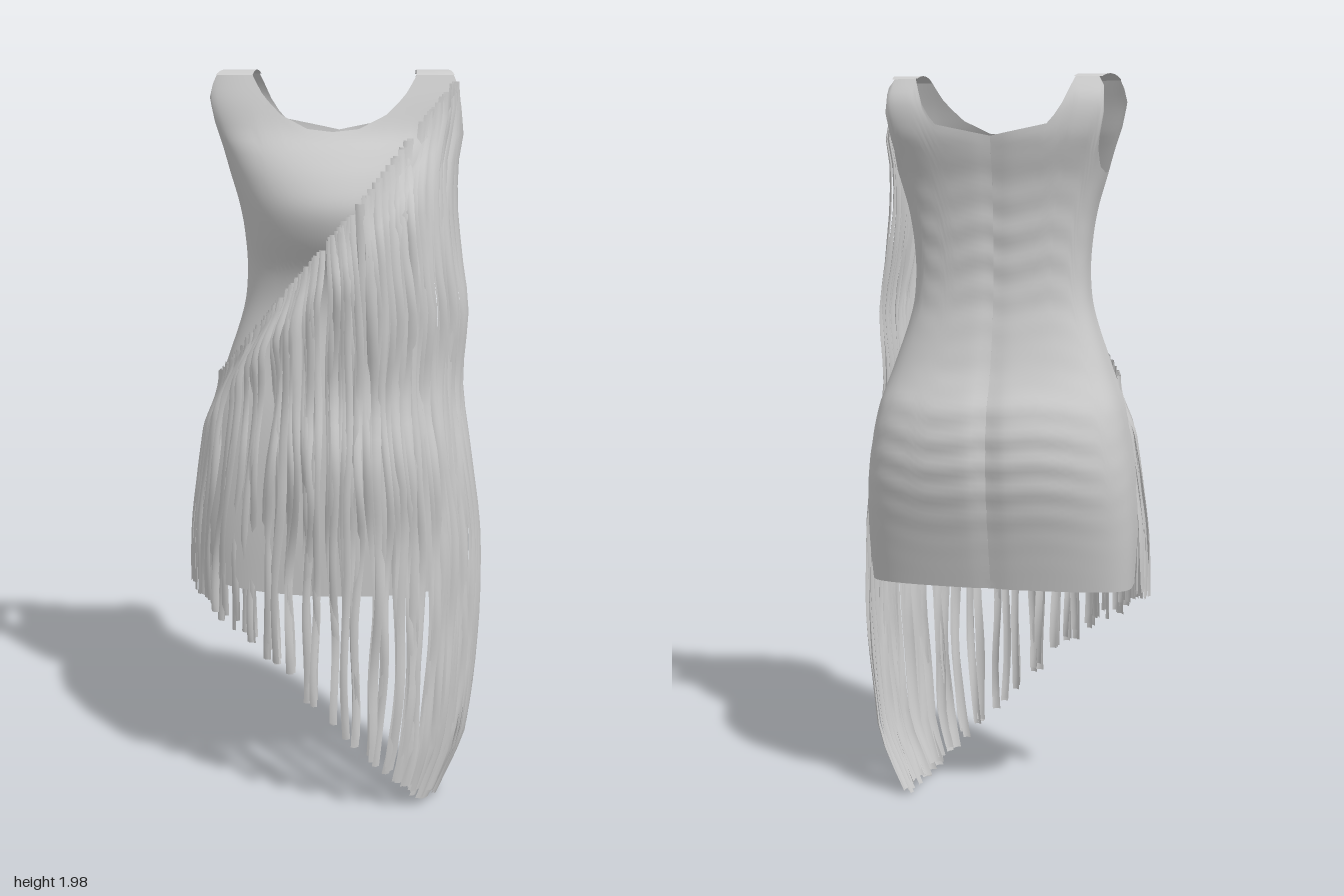
import * as THREE from 'three';
import { mergeGeometries, mergeVertices } from 'three/addons/utils/BufferGeometryUtils.js';

const RAD = Math.PI / 180;
const { lerp, clamp, smoothstep } = THREE.MathUtils;

// Dress outline by height: [y, half width, front depth, back depth]
const BODY = [
  [0.63, 0.352, 0.17, 0.17], [0.8, 0.36, 0.18, 0.215], [0.95, 0.355, 0.185, 0.252],
  [1.05, 0.342, 0.185, 0.258], [1.15, 0.322, 0.178, 0.24], [1.25, 0.287, 0.165, 0.19],
  [1.4, 0.238, 0.148, 0.15], [1.5, 0.228, 0.165, 0.142], [1.6, 0.235, 0.217, 0.145],
  [1.67, 0.248, 0.232, 0.15], [1.74, 0.268, 0.207, 0.16], [1.8, 0.285, 0.165, 0.175], [1.85, 0.305, 0.122, 0.183],
  [1.93, 0.33, 0.085, 0.17], [1.985, 0.325, 0.06, 0.13],
];
// Hanging surface of the fringe: [y, half width, front depth]
const FRINGE = [
  [0, 0.37, 0.185], [0.2, 0.385, 0.19], [0.6, 0.385, 0.195], [0.8, 0.38, 0.203], [0.95, 0.36, 0.235],
  [1.05, 0.345, 0.24], [1.2, 0.325, 0.21], [1.4, 0.335, 0.23], [1.5, 0.32, 0.245], [1.65, 0.302, 0.245],
  [1.7, 0.3, 0.235], [1.78, 0.302, 0.19], [1.85, 0.315, 0.14], [1.93, 0.325, 0.085], [1.98, 0.31, 0.065],
];
// Upper edge by angle from the front: neckline, shoulder, armhole, shoulder, back neckline
const TOP_EDGE = [
  [0, 1.85], [12, 1.857], [24, 1.89], [32, 1.935], [39, 1.985], [67, 1.985], [73, 1.92], [77, 1.82], [82, 1.765],
  [92, 1.75], [106, 1.765], [116, 1.82], [121, 1.92], [124, 1.985], [142, 1.985], [146, 1.93], [152, 1.87], [180, 1.84],
];
// Lower ends of the strands by angle
const FRINGE_END = [[-90, 0.63], [-60, 0.58], [-38, 0.51], [-20, 0.42], [0, 0.27], [20, 0.17], [38, 0.08], [60, 0.03], [90, 0]];

function sample(table, t, col, smooth = true) {
  const n = table.length - 1;
  let i = 0;
  while (i < n - 1 && t > table[i + 1][0]) i++;
  const [a, b] = [table[i], table[i + 1]], w = b[0] - a[0];
  const k = clamp((t - a[0]) / w, 0, 1);
  if (!smooth) return lerp(a[col], b[col], k);
  const slope = (j) => {
    const p = table[Math.max(j - 1, 0)], q = table[Math.min(j + 1, n)];
    return (q[col] - p[col]) / (q[0] - p[0]);
  };
  const k2 = k * k, k3 = k2 * k;
  return a[col] * (2 * k3 - 3 * k2 + 1) + b[col] * (3 * k2 - 2 * k3)
    + w * (slope(i) * (k3 - 2 * k2 + k) + slope(i + 1) * (k3 - k2));
}

function seeded(seed) {
  return () => (seed = (seed * 16807) % 2147483647) / 2147483647;
}

// Sheet of quads from a point rule over u, v in 0..1
function sheet(nu, nv, point) {
  const pos = [], index = [];
  for (let i = 0; i <= nu; i++) for (let j = 0; j <= nv; j++) {
    const p = point(i / nu, j / nv);
    pos.push(p.x, p.y, p.z);
    if (i < nu && j < nv) {
      const a = i * (nv + 1) + j, b = a + nv + 1;
      index.push(a, b, a + 1, b, b + 1, a + 1);
    }
  }
  const g = new THREE.BufferGeometry();
  g.setAttribute('position', new THREE.Float32BufferAttribute(pos, 3));
  g.setIndex(index);
  return g;
}

// Point on the dress at height y and angle a in degrees (0 = front, 90 = +x)
function bodyPoint(y, a) {
  const s = Math.sin(a * RAD), c = Math.cos(a * RAD);
  const front = c >= 0;
  // Rounder over the bust, flatter at the shoulders and hips
  const bust = Math.exp(-(((y - 1.65) / 0.16) ** 2)), high = smoothstep(y, 1.72, 1.9);
  const power = front ? 0.72 + 0.28 * bust - 0.2 * high : 0.52 - 0.17 * high;
  let z = Math.pow(Math.abs(c), power) * sample(BODY, y, front ? 2 : 3);
  const x = s * sample(BODY, y, 1);
  let fold = 0;
  if (!front) {
    // Centre-back seam and gathered cloth over the seat and waist
    const seat = Math.exp(-(((y - 1.05) / 0.18) ** 2)), waist = Math.exp(-(((y - 1.55) / 0.17) ** 2));
    z -= Math.exp(-((x / 0.03) ** 2)) * (0.005 + 0.01 * seat);
    fold = -c * (0.003 * seat * Math.sin(y * 88 + Math.sin(a * 0.09)) + 0.004 * waist * Math.sin(y * 75 + Math.sin(a * 0.1)));
  }
  return new THREE.Vector3(x * (1 + fold), y, (front ? z : -z) * (1 + 4 * fold));
}
const edgePoint = (a) => bodyPoint(sample(TOP_EDGE, Math.abs(a), 1, false), a);

function bodyGeometry() {
  const g = sheet(120, 76, (u, v) => {
    const a = lerp(-180, 180, u);
    const bottom = 0.665 - 0.017 * Math.cos(a * RAD);
    return bodyPoint(lerp(bottom, sample(TOP_EDGE, Math.abs(a), 1, false), v), a);
  });
  const merged = mergeVertices(g, 1e-5);
  merged.computeVertexNormals();
  return merged;
}

// Strap arching from the front shoulder edge to the back one
function strapGeometry(side) {
  const g = sheet(10, 14, (u, v) => {
    const p = edgePoint(side * lerp(39, 67, u)), q = edgePoint(side * lerp(142, 124, u));
    const m = p.clone().lerp(q, 0.45);
    m.y += 0.024;
    return new THREE.QuadraticBezierCurve3(p, m, q).getPoint(v);
  });
  g.computeVertexNormals();
  return g;
}

// One folded ribbon hanging from the diagonal line across the chest.
// The layers spread apart over the dress and gather into tassels below the hem.
function strandGeometry(base, spread, layer, rand) {
  const startAngle = clamp(base + spread, -87, 64);
  let top = 1.985;
  while (top > 1.15 && top > 1.22 + (bodyPoint(top, startAngle).x + 0.3) * 1.27) top -= 0.005;
  const start = bodyPoint(top, startAngle);
  const end = Math.max(0, sample(FRINGE_END, base, 1, false) + rand() * 0.035);
  const phase = rand() * 6.28, twist = (rand() - 0.5) * 1.1;
  const width = 0.0085 + rand() * 0.003 + 0.002 * smoothstep(base, 0, 60);
  const out = (layer - 1) * 0.008;
  const angle = (y) => clamp(base + spread * smoothstep(y, 0.55, 0.95), -89, 89);
  const path = (y) => {
    const a = angle(y), s = Math.sin(a * RAD), c = Math.cos(a * RAD);
    const k = smoothstep(top - y, 0, 0.16);
    const curl = (0.06 * Math.max(0, (0.6 - y) / 0.6) ** 1.5 + 0.04 * Math.max(0, 1 - y / 0.2)) * Math.max(0, s);
    const sway = 0.004 * Math.sin(y * 13 + base) + 0.003 * Math.sin(y * 5 + base * 0.2);
    const depth = (sample(FRINGE, y, 2) + out) * (1 - 0.2 * smoothstep(-s, 0, 0.6));
    const x = s * (sample(FRINGE, y, 1) + out) + sway * c - curl;
    const z = Math.pow(c, 0.9) * depth + 0.005 * Math.sin(y * 17 + phase) + 0.005;
    return new THREE.Vector3(lerp(start.x + s * 0.008, x, k), y, lerp(start.z + 0.008, z, k));
  };
  const across = new THREE.Vector3(), outward = new THREE.Vector3();
  return sheet(2, 30, (u, v) => {
    const y = lerp(end, top, v), a = angle(y) * RAD;
    const turn = Math.atan2(Math.sin(a), Math.cos(a) * 1.5) + twist * Math.sin(y * 9 + phase);
    across.set(Math.cos(turn), 0, -Math.sin(turn));
    outward.set(Math.sin(turn), 0, Math.cos(turn));
    return path(y).addScaledVector(across, (u * 2 - 1) * width).addScaledVector(outward, u === 0.5 ? 0.005 : 0);
  });
}

function fringeGeometry(layer, rand) {
  const strands = [], count = 33, step = 176 / (count - 1);
  for (let i = 0; i < count; i++) {
    const base = -88 + step * (i + 0.25 * Math.sin(i * 2.4));
    const spread = (layer - 1) * step / 3 + (rand() - 0.5) * 1.5;
    strands.push(strandGeometry(base, spread, layer, rand));
  }
  const g = mergeGeometries(strands);
  g.computeVertexNormals();
  return g;
}

export function createModel() {
  const group = new THREE.Group();
  group.name = 'fringedDress';
  const cloth = new THREE.MeshStandardMaterial({ color: 0xcccccc, side: THREE.DoubleSide });
  const add = (name, geometry) => {
    const mesh = new THREE.Mesh(geometry, cloth);
    mesh.name = name;
    group.add(mesh);
  };
  add('dressBody', bodyGeometry());
  add('leftStrap', strapGeometry(1));
  add('rightStrap', strapGeometry(-1));
  const rand = seeded(4711);
  ['innerFringe', 'middleFringe', 'outerFringe'].forEach((name, layer) => add(name, fringeGeometry(layer, rand)));
  return group;
}
